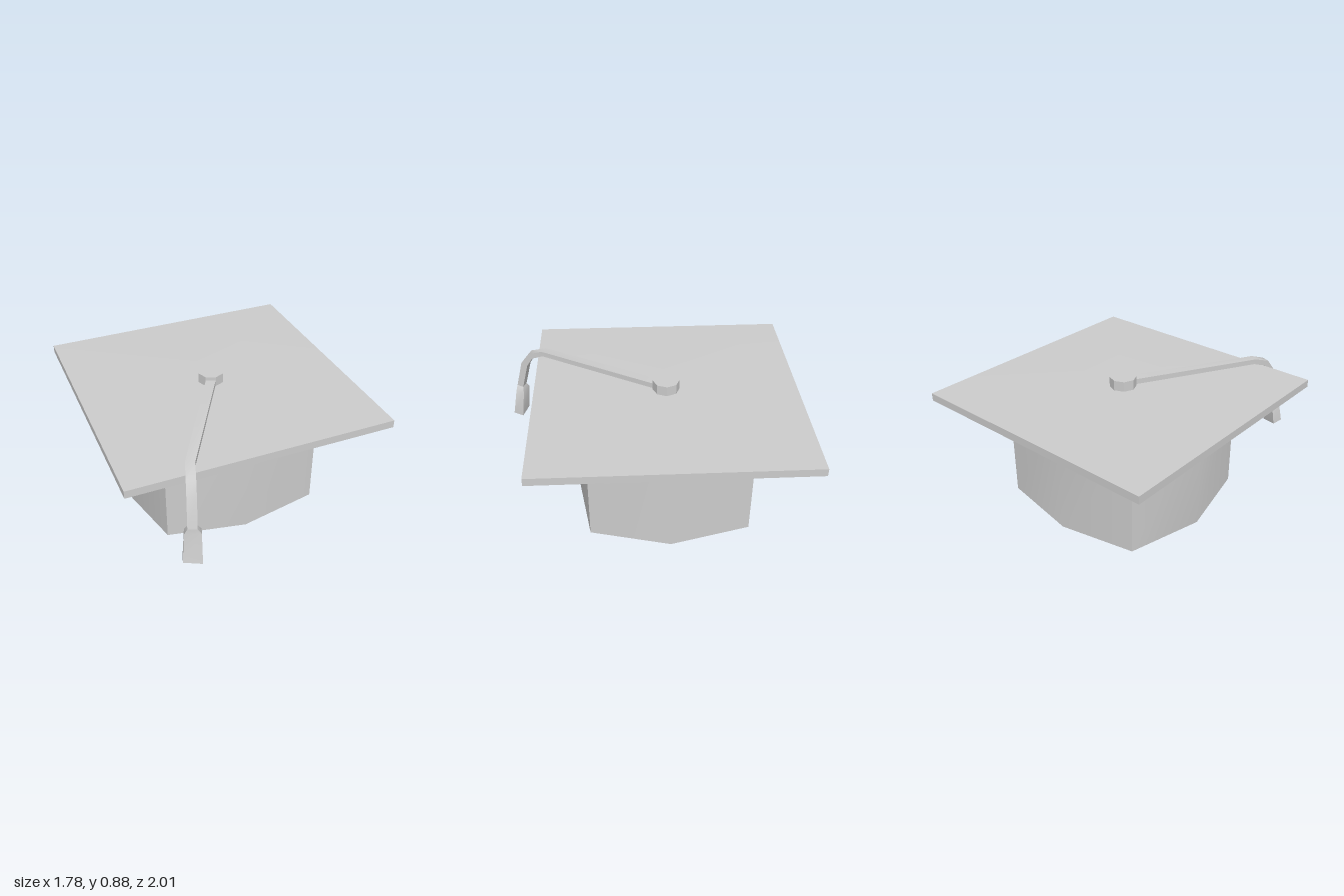
import * as THREE from 'three';
import { toCreasedNormals } from 'three/addons/utils/BufferGeometryUtils.js';

const CZ = -0.11; // centre of the cap in z

// Skin a list of rings (equal point counts); a ring shrunk to one point closes an end.
function loft(rings, crease = 0.6) {
  const pos = [];
  const tri = new THREE.Triangle();
  const add = (a, b, c) => {
    if (tri.set(a, b, c).getArea() > 1e-8) for (const p of [a, b, c]) pos.push(p.x, p.y, p.z);
  };
  for (let r = 0; r + 1 < rings.length; r++) {
    const lo = rings[r], hi = rings[r + 1], n = lo.length;
    for (let i = 0; i < n; i++) {
      const j = (i + 1) % n;
      add(lo[i], hi[i], lo[j]);
      add(lo[j], hi[i], hi[j]);
    }
  }
  const g = new THREE.BufferGeometry();
  g.setAttribute('position', new THREE.Float32BufferAttribute(pos, 3));
  return toCreasedNormals(g, crease);
}

// Eight-point bowed square: side middles at mx, mz and corners at c, each with its own height.
function ring(mx, mz, c, midY, cornerY = midY) {
  return Array.from({ length: 8 }, (_, i) => {
    const sx = Math.sign(Math.round(Math.cos(i * Math.PI / 4) * 2));
    const sz = Math.sign(Math.round(Math.sin(i * Math.PI / 4) * 2));
    return i % 2
      ? new THREE.Vector3(sx * c, cornerY, CZ + sz * c)
      : new THREE.Vector3(sx * mx, midY, CZ + sz * mz);
  });
}

export function createModel() {
  const group = new THREE.Group();
  const material = new THREE.MeshStandardMaterial({ color: 0xcccccc });
  const part = (name, geometry, mat = material) => {
    const mesh = new THREE.Mesh(geometry, mat);
    mesh.name = name;
    group.add(mesh);
    return mesh;
  };

  // Hollow head band: ceiling, inner wall, bottom rim, outer wall
  const bandTop = ring(0.65, 0.62, 0.537, 0.755, 0.732);
  part('headBand', loft([
    ring(0, 0, 0, 0.64),
    ring(0.585, 0.56, 0.48, 0.64),
    ring(0.585, 0.56, 0.48, 0, 0.025),
    ring(0.65, 0.62, 0.537, 0, 0.025),
    bandTop,
  ]));

  // Square board, dipping underneath to meet the band and barely domed on top
  part('board', loft([
    bandTop,
    ring(0.89, 0.89, 0.89, 0.755),
    ring(0.89, 0.89, 0.89, 0.807),
    ring(0, 0, 0, 0.815),
  ]));

  // Eight-sided button
  const flat = new THREE.MeshStandardMaterial({ color: 0xcccccc, flatShading: true });
  part('button', new THREE.CylinderGeometry(0.09, 0.09, 0.073, 8), flat).position.set(0, 0.8465, CZ);

  // Cord and tassel sections: centre, half width, half thickness, width direction, path direction
  const across = [0.863, 0, 0.505], turned = [0.94, 0, 0.34];
  const section = (centre, hw, ht, wide, dir) => {
    const c = new THREE.Vector3(...centre);
    const w = new THREE.Vector3(...wide).normalize();
    const n = w.clone().cross(new THREE.Vector3(...dir)).normalize();
    return [[1, 1], [-1, 1], [-1, -1], [1, -1]].map(([a, b]) =>
      c.clone().addScaledVector(w, a * hw).addScaledVector(n, b * ht));
  };
  const end = (centre) => Array.from({ length: 4 }, () => new THREE.Vector3(...centre));

  const cordEnd = section([-0.543, 0.54, 0.93], 0.03, 0.023, turned, [-0.08, -0.97, 0.22]);
  part('cord', loft([
    end([-0.02, 0.84, -0.055]),
    section([-0.02, 0.84, -0.055], 0.033, 0.018, across, [-0.505, 0, 0.863]),
    section([-0.475, 0.846, 0.735], 0.03, 0.018, across, [-0.48, -0.17, 0.86]),
    section([-0.508, 0.81, 0.83], 0.03, 0.021, turned, [-0.25, -0.65, 0.72]),
    section([-0.525, 0.735, 0.88], 0.03, 0.024, turned, [-0.12, -0.92, 0.37]),
    cordEnd,
  ]));

  // Flared tassel
  const down = [-0.08, -0.98, 0.18];
  const tip = [-0.556, 0.303, 0.955];
  part('tassel', loft([
    cordEnd,
    section([-0.54, 0.503, 0.926], 0.052, 0.03, turned, down),
    section(tip, 0.06, 0.036, [0.93, -0.13, 0.34], down),
    end(tip),
  ]));

  return group;
}
